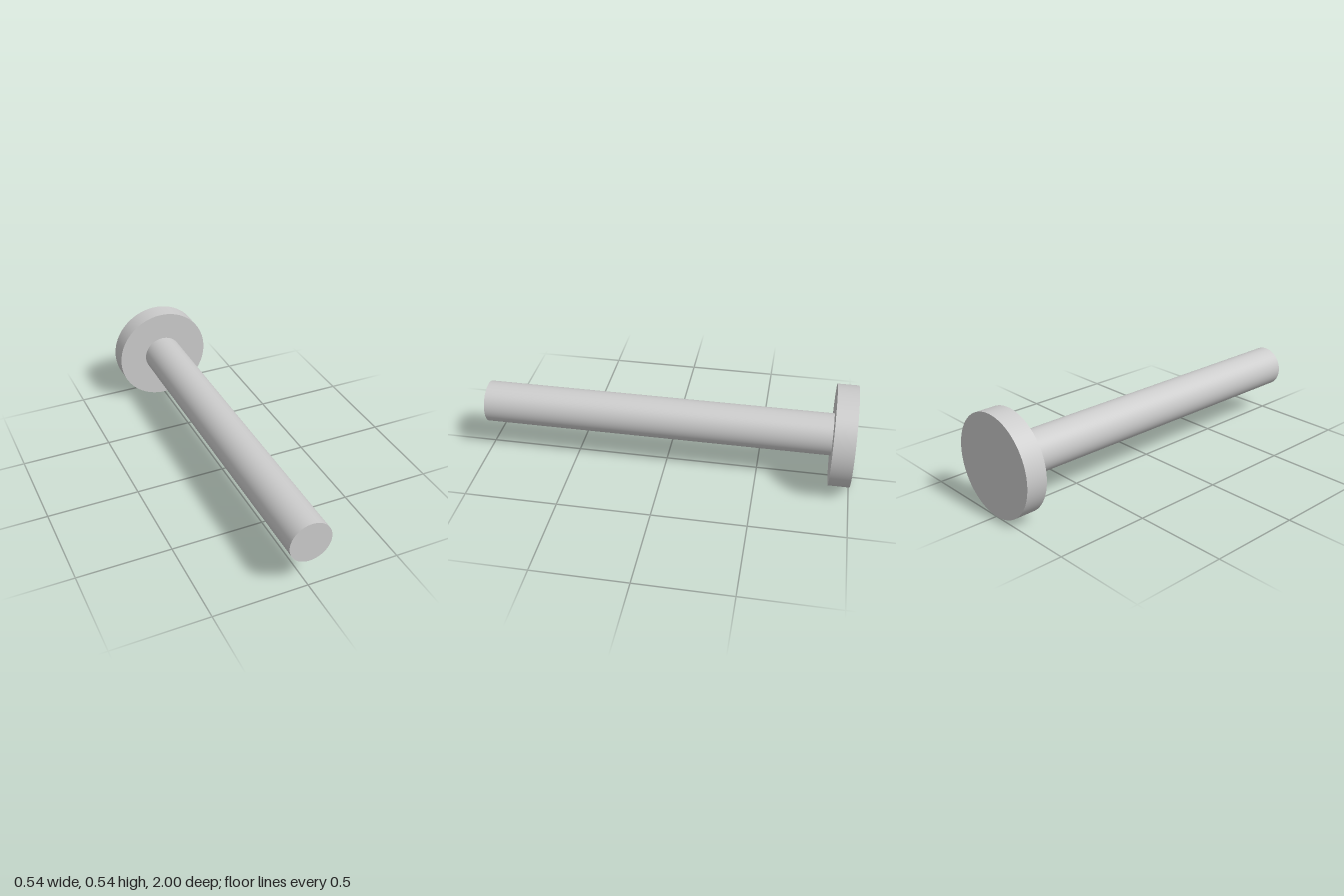
import * as THREE from 'three';

const HEAD_RADIUS = 0.27;
const SHANK_RADIUS = 0.112;
const BACK = -1;
const SHOULDER = -0.888; // where the head meets the shank
const TIP = 1;

const material = new THREE.MeshStandardMaterial({ color: 0xcccccc });

// Solid disc or rod lying along z between two depths
function rod(name, radius, zBack, zFront) {
  const geometry = new THREE.CylinderGeometry(radius, radius, zFront - zBack, 96);
  geometry.rotateX(Math.PI / 2);
  const mesh = new THREE.Mesh(geometry, material);
  mesh.name = name;
  mesh.position.set(0, HEAD_RADIUS, (zBack + zFront) / 2);
  return mesh;
}

export function createModel() {
  const pin = new THREE.Group();
  pin.name = 'headedPin';
  // Wide flat head at the back, plain shank running forward
  pin.add(rod('head', HEAD_RADIUS, BACK, SHOULDER));
  pin.add(rod('shank', SHANK_RADIUS, SHOULDER, TIP));
  return pin;
}
